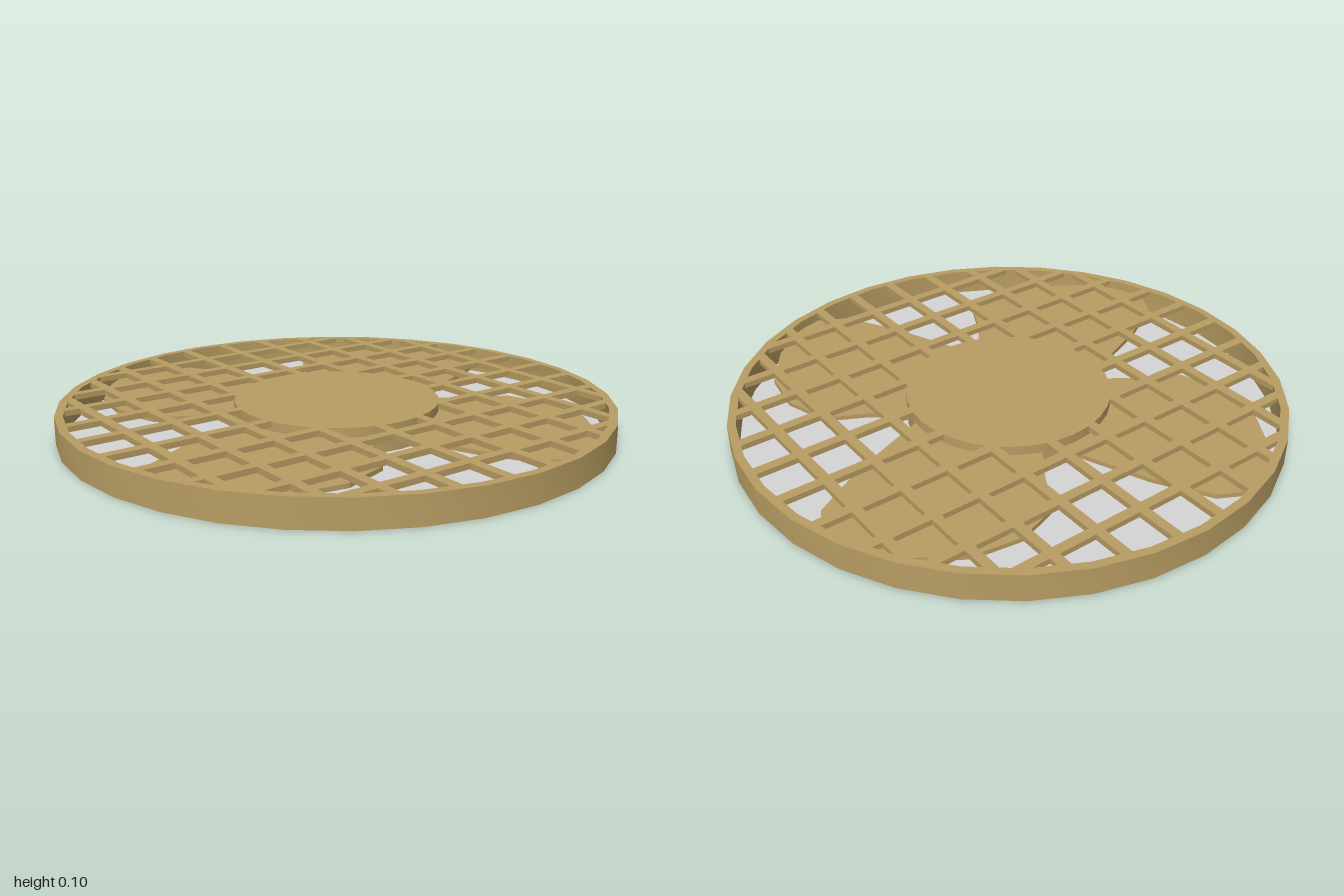
import * as THREE from 'three';
import { toCreasedNormals } from 'three/addons/utils/BufferGeometryUtils.js';

const brass = new THREE.MeshStandardMaterial({ color: 0xb89d63 });
brass.name = 'brass';
const grey = new THREE.MeshStandardMaterial({ color: 0xd6d6d6, side: THREE.DoubleSide });
grey.name = 'light grey';

function part(name, geometry, material, parent) {
  const mesh = new THREE.Mesh(geometry, material);
  mesh.name = name;
  parent.add(mesh);
  return mesh;
}

// 32-sided turned part with sharp profile corners
function turned(profile) {
  const points = profile.map(([r, y]) => new THREE.Vector2(r, y));
  return toCreasedNormals(new THREE.LatheGeometry(points, 32), 0.5);
}

export function createModel() {
  const model = new THREE.Group();
  model.name = 'ventFan';

  // Outer ring
  part('outerRing', turned([[0.97, 0], [1, 0], [1, 0.1], [0.97, 0.1], [0.97, 0]]), brass, model);

  // Thin back plate with a round opening
  const plate = new THREE.RingGeometry(0.37, 0.972, 32, 1);
  plate.rotateX(-Math.PI / 2);
  part('backPlate', plate, grey, model).position.y = 0.003;

  // Hub, a cup open at the bottom
  part('hub', turned([[0, 0.07], [0.365, 0.07], [0.365, 0], [0.372, 0], [0.372, 0.1], [0, 0.1]]), brass, model);

  // Four flat blades, whose straight roots leave a square inside the hub
  const outline = [
    [-0.14, -0.26], [-0.17, -0.36], [-0.19, -0.48], [-0.235, -0.62], [-0.155, -0.78], [-0.02, -0.88],
    [0.17, -0.92], [0.38, -0.91], [0.45, -0.86], [0.487, -0.74], [0.43, -0.53], [0.35, -0.34], [0.26, -0.14],
  ].map(([x, z]) => new THREE.Vector2(x, z));
  const bladeGeometry = new THREE.ExtrudeGeometry(new THREE.Shape(outline), { depth: 0.016, bevelEnabled: false });
  bladeGeometry.rotateX(Math.PI / 2);
  const blades = new THREE.Group();
  blades.name = 'blades';
  model.add(blades);
  for (let i = 0; i < 4; i++) {
    const blade = part('blade', bladeGeometry, brass, blades);
    blade.position.y = 0.066;
    blade.rotation.y = i * Math.PI / 2;
  }

  // Diagonal lattice guard, cut to the ring
  const lattice = new THREE.Group();
  lattice.name = 'latticeGuard';
  lattice.rotation.y = Math.PI / 4;
  model.add(lattice);
  const step = 0.0884;
  for (let k = -9; k <= 9; k += 2) {
    const d = k * step;
    const length = 2 * Math.sqrt(0.98 * 0.98 - d * d);
    part('latticeBar', new THREE.BoxGeometry(length, 0.02, 0.036), brass, lattice).position.set(0, 0.09, d);
    part('latticeCrossBar', new THREE.BoxGeometry(0.036, 0.02, length), brass, lattice).position.set(d, 0.09, 0);
  }
  return model;
}
